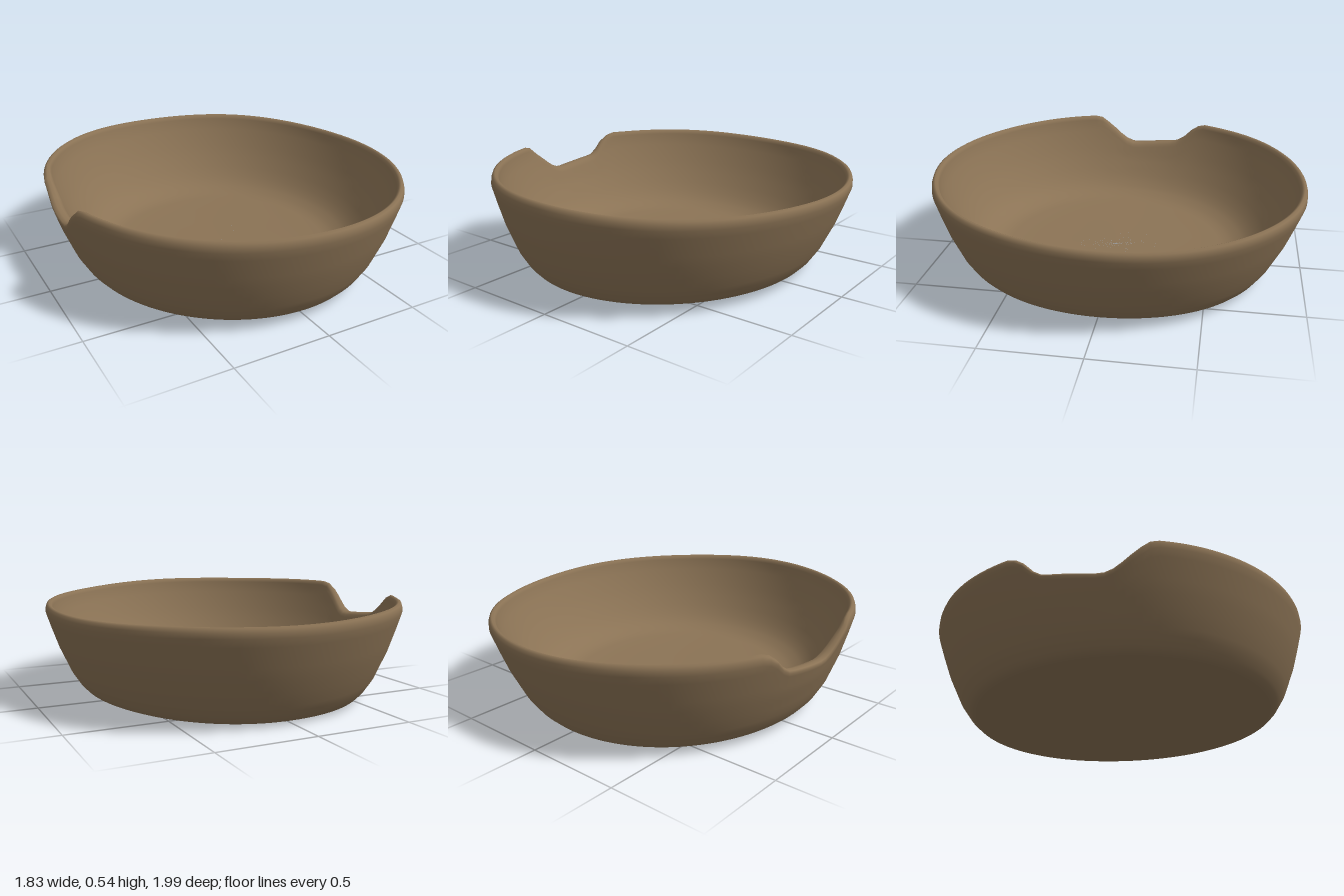
import * as THREE from 'three';

// Piecewise-linear lookup in a list of [input, output] pairs
function lookup(table, t) {
  if (t <= table[0][0]) return table[0][1];
  for (let i = 1; i < table.length; i++) {
    const [t0, v0] = table[i - 1], [t1, v1] = table[i];
    if (t <= t1) return v0 + (v1 - v0) * (t - t0) / (t1 - t0);
  }
  return table[table.length - 1][1];
}

// Wall profiles: [height fraction, radius fraction]
const outerWall = [[0, 0.76], [0.03, 0.8], [0.09, 0.83], [0.22, 0.873], [0.5, 0.935], [0.72, 0.972], [0.9, 1], [1, 0.997]];
const innerWall = [[0.11, 0.58], [0.13, 0.645], [0.18, 0.71], [0.28, 0.775], [0.5, 0.856], [0.72, 0.915], [0.9, 0.955], [1, 0.963]];

// Broken edge on the right side: [z, remaining height fraction]
const chip = [[-0.41, 1], [-0.36, 0.95], [-0.29, 0.79], [-0.25, 0.75], [-0.1, 0.71], [0.03, 0.68], [0.1, 0.73], [0.18, 0.86], [0.27, 1]];

// Rows from the base centre, up the outside, over the lip, down to the floor centre.
// Wall rows: f = height fraction, side = 0 outside to 1 inside. Disc rows: f, r.
const rows = [{ f: 0, r: 0 }, { f: 0, r: 0.35 }, { f: 0, r: 0.68 }];
for (const f of [0.01, 0.03, 0.06, 0.09, 0.15, 0.22, 0.36, 0.5, 0.62, 0.72, 0.82, 0.9, 0.95]) rows.push({ f, side: 0 });
for (const [f, side] of [[0.985, 0.14], [1, 0.5], [0.985, 0.86]]) rows.push({ f, side });
for (const f of [0.95, 0.9, 0.82, 0.72, 0.62, 0.5, 0.38, 0.28, 0.22, 0.18, 0.15, 0.13, 0.115]) rows.push({ f, side: 1 });
rows.push({ f: 0.105, r: 0.45 }, { f: 0.1, r: 0.25 }, { f: 0.1, r: 0 });

function bowlPoint(row, angle) {
  const c = Math.cos(angle), s = Math.sin(angle);
  // Hand-formed oval, a little wider on the right side and fuller at the back
  const swell = 1 + (0.007 - 0.006 * s) * Math.sin(2 * angle) ** 2;
  const rx = (c < 0 ? 0.943 : 0.917) * swell, rz = 0.995 * swell;
  const keep = c < 0 ? lookup(chip, s * rz) : 1;
  const v = row.f < 0.2 ? row.f : 0.2 + (row.f - 0.2) * (keep - 0.2) / 0.8;
  const r = row.r ?? THREE.MathUtils.lerp(lookup(outerWall, v), lookup(innerWall, v), row.side);
  // The foot sits slightly off centre
  const x = c * rx * r - 0.012 * (1 - v), z = s * rz * r + 0.022 * (1 - v);
  // Uneven underside and tilted rim
  const bottom = 0.014 + 0.018 * z + 0.03 * x * x;
  const top = 0.512 - 0.02 * c + 0.014 * s + 0.003 * Math.sin(5 * angle);
  return [x, THREE.MathUtils.lerp(bottom, top, v), z];
}

function bowlGeometry(segments) {
  const positions = [], index = [];
  for (const row of rows) {
    for (let j = 0; j < segments; j++) positions.push(...bowlPoint(row, j / segments * Math.PI * 2));
  }
  for (let i = 0; i < rows.length - 1; i++) {
    for (let j = 0; j < segments; j++) {
      const k = (j + 1) % segments;
      const a = i * segments + j, b = a + segments;
      const c = i * segments + k, d = c + segments;
      // The first and last rows are single centre points
      if (rows[i].r !== 0) index.push(a, b, c);
      if (rows[i + 1].r !== 0) index.push(b, d, c);
    }
  }
  const geometry = new THREE.BufferGeometry();
  geometry.setAttribute('position', new THREE.Float32BufferAttribute(positions, 3));
  geometry.setIndex(index);
  geometry.computeVertexNormals();
  return geometry;
}

export function createModel() {
  const clay = new THREE.MeshStandardMaterial({ color: 0x8b7355 });
  clay.name = 'brown clay';
  const bowl = new THREE.Mesh(bowlGeometry(144), clay);
  bowl.name = 'chippedBowl';
  const group = new THREE.Group();
  group.name = 'bowl';
  group.add(bowl);
  return group;
}
